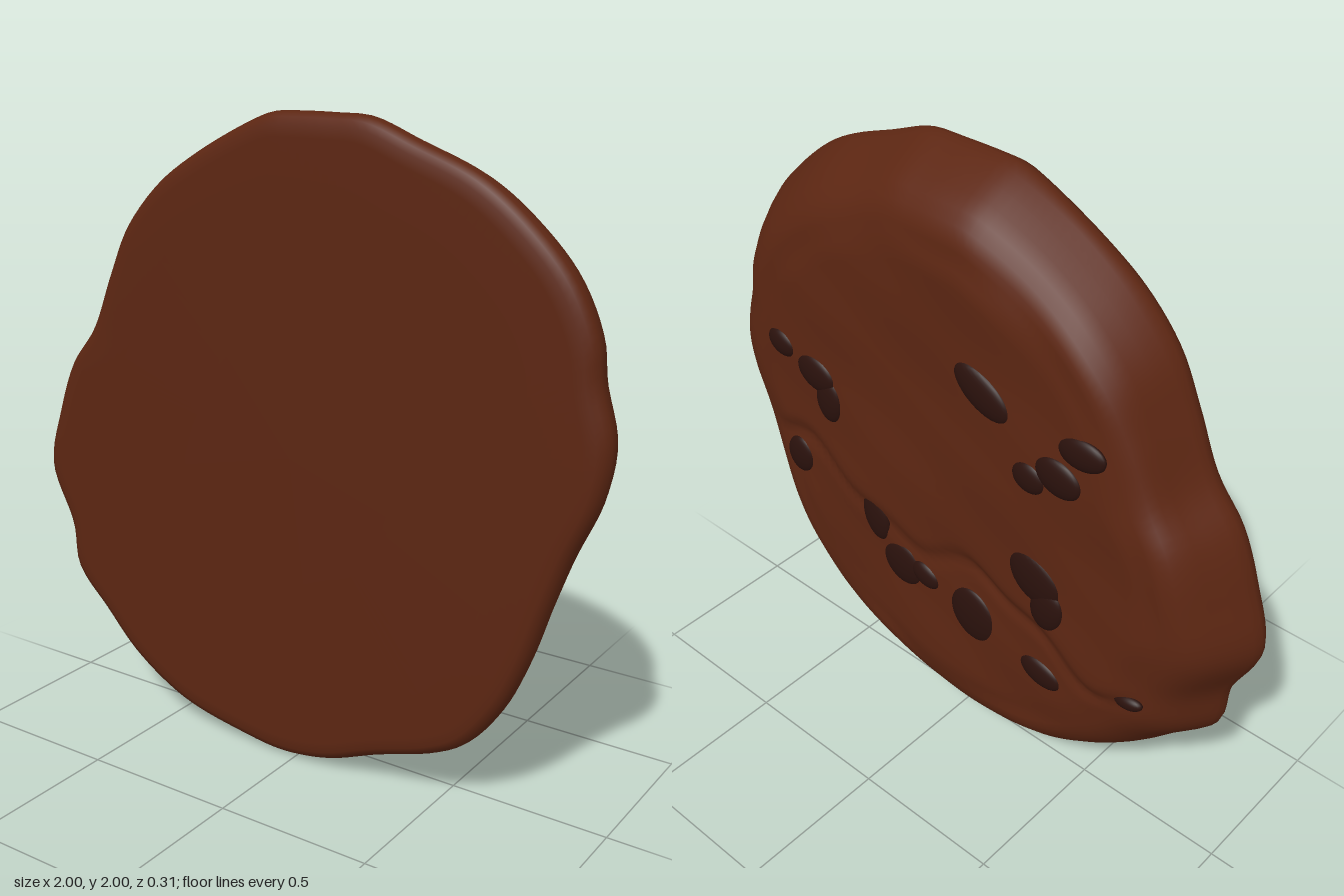
import * as THREE from 'three';

// Uneven outline, clockwise from the top, centred on the origin
const OUTLINE = [
  [0, 1], [0.14, 1], [0.25, 0.995], [0.4, 0.94], [0.6, 0.86], [0.75, 0.75], [0.87, 0.62], [0.94, 0.47],
  [0.955, 0.36], [0.995, 0.2], [0.975, 0.05], [0.9, -0.13], [0.84, -0.3], [0.78, -0.48], [0.71, -0.63],
  [0.6, -0.77], [0.5, -0.83], [0.3, -0.9], [0.12, -0.97], [-0.04, -0.995], [-0.2, -0.98], [-0.45, -0.925],
  [-0.65, -0.81], [-0.78, -0.68], [-0.9, -0.55], [-0.92, -0.4], [-1, -0.2], [-0.95, 0], [-0.88, 0.17],
  [-0.78, 0.3], [-0.7, 0.48], [-0.62, 0.64], [-0.5, 0.77], [-0.35, 0.87], [-0.15, 0.97], [-0.08, 0.995],
];

// Side profile: [share of the outline, z], from the flat face round the rim to the back
const RIM = [
  [0, 0.152], [0.4, 0.152], [0.8, 0.152], [0.93, 0.153], [0.965, 0.15], [0.985, 0.14], [0.997, 0.12],
  [1, 0.1], [0.99, 0.07], [0.965, 0.02], [0.94, -0.03], [0.915, -0.07], [0.885, -0.1], [0.85, -0.118],
];

// Chips on the back: x, y, half width, half height, turn
const CHIPS = [
  [-0.16, 0.42, 0.11, 0.06, 0.5], [-0.51, 0.38, 0.08, 0.05, -0.1], [-0.44, 0.27, 0.08, 0.06, 0.2],
  [-0.34, 0.22, 0.06, 0.05, 0], [0.67, 0.23, 0.06, 0.045, 0.2], [0.52, 0.18, 0.08, 0.06, 0.2],
  [0.47, 0.1, 0.055, 0.08, 0], [-0.37, -0.14, 0.1, 0.08, 0.6], [-0.42, -0.23, 0.06, 0.08, 0.2],
  [0.29, -0.27, 0.055, 0.09, -0.2], [0.18, -0.41, 0.085, 0.08, 0.2], [0.08, -0.4, 0.06, 0.045, 0.3],
  [-0.12, -0.45, 0.09, 0.1, -0.4], [-0.4, -0.51, 0.08, 0.05, 0.2], [-0.72, -0.42, 0.05, 0.025, -0.2],
  [0.64, -0.2, 0.06, 0.07, 0.2],
];

// Gently lumpy back with a wavy crack stepping across it
function backZ(x, y) {
  const lumps = Math.sin(7 * x + 3 * y) * Math.sin(6 * y - 2 * x) * 0.006
    + Math.sin(15 * x - 9 * y + 1) * Math.sin(13 * y + 4 * x) * 0.003;
  const d = y + 0.28 - 0.2 * x + 0.05 * Math.sin(8 * x) + 0.02 * Math.sin(19 * x);
  const crack = 0.015 * Math.exp(-((d / 0.03) ** 2));
  const step = -0.006 * Math.tanh(d / 0.05) * Math.exp(-2 * d * d);
  return -0.136 + lumps + crack + step;
}

function bodyGeometry() {
  const curve = new THREE.CatmullRomCurve3(OUTLINE.map(([x, y]) => new THREE.Vector3(x, y, 0)), true);
  const n = 180;
  const edge = curve.getSpacedPoints(n).slice(0, n);
  const rings = RIM.map(([s, z]) => ({ s, z, back: 0 }));
  for (let i = 1; i <= 32; i++) {
    const s = 0.85 * (1 - i / 32);
    rings.push({ s, z: -0.118, back: Math.min(1, i / 4) });
  }
  const pos = [], index = [];
  rings.forEach(({ s, z, back }) => {
    for (const p of edge) {
      // the scalloped rim rounds off a little towards the back
      const r = Math.hypot(p.x, p.y), round = z < 0 ? 0.2 * Math.min(1, -z / 0.1) : 0;
      const k = s * (1 + round * (0.96 / r - 1));
      const x = p.x * k, y = p.y * k;
      const side = z < 0.1 && s > 0.8 ? 0.006 * Math.sin(9 * p.x + 5 * p.y) : 0;
      pos.push(x, y, z + side * (1 - back) + back * (backZ(x, y) - z));
    }
  });
  for (let i = 0; i < rings.length - 1; i++) {
    for (let j = 0; j < n; j++) {
      const a = i * n + j, b = i * n + (j + 1) % n, c = a + n, d = b + n;
      if (i > 0) index.push(a, b, c);
      if (i === 0) index.push(b, d, c);
      else if (i < rings.length - 2) index.push(b, d, c);
    }
  }
  const g = new THREE.BufferGeometry();
  g.setAttribute('position', new THREE.Float32BufferAttribute(pos, 3));
  g.setIndex(index);
  g.computeVertexNormals();
  // shared normals at the two centres
  const last = (rings.length - 1) * n;
  for (let j = 0; j < n; j++) {
    g.attributes.normal.setXYZ(j, 0, 0, 1);
    g.attributes.normal.setXYZ(last + j, 0, 0, -1);
  }
  return g;
}

export function createModel() {
  const group = new THREE.Group();
  group.name = 'cookie';
  const dough = new THREE.MeshStandardMaterial({ color: 0x5c2612 });
  const chocolate = new THREE.MeshStandardMaterial({ color: 0x2a110c });

  const body = new THREE.Mesh(bodyGeometry(), dough);
  body.name = 'cookieBody';
  body.position.y = 1;
  group.add(body);

  // Half-sunk chips, only slightly proud of the back
  const chips = new THREE.Group();
  chips.name = 'chocolateChips';
  const ball = new THREE.SphereGeometry(1, 24, 16);
  CHIPS.forEach(([x, y, w, h, turn], i) => {
    const chip = new THREE.Mesh(ball, chocolate);
    chip.name = `chip${i + 1}`;
    chip.position.set(x, y + 1, backZ(x, y) + 0.006);
    chip.scale.set(w, h, 0.022);
    chip.rotation.z = turn;
    chips.add(chip);
  });
  group.add(chips);
  return group;
}
